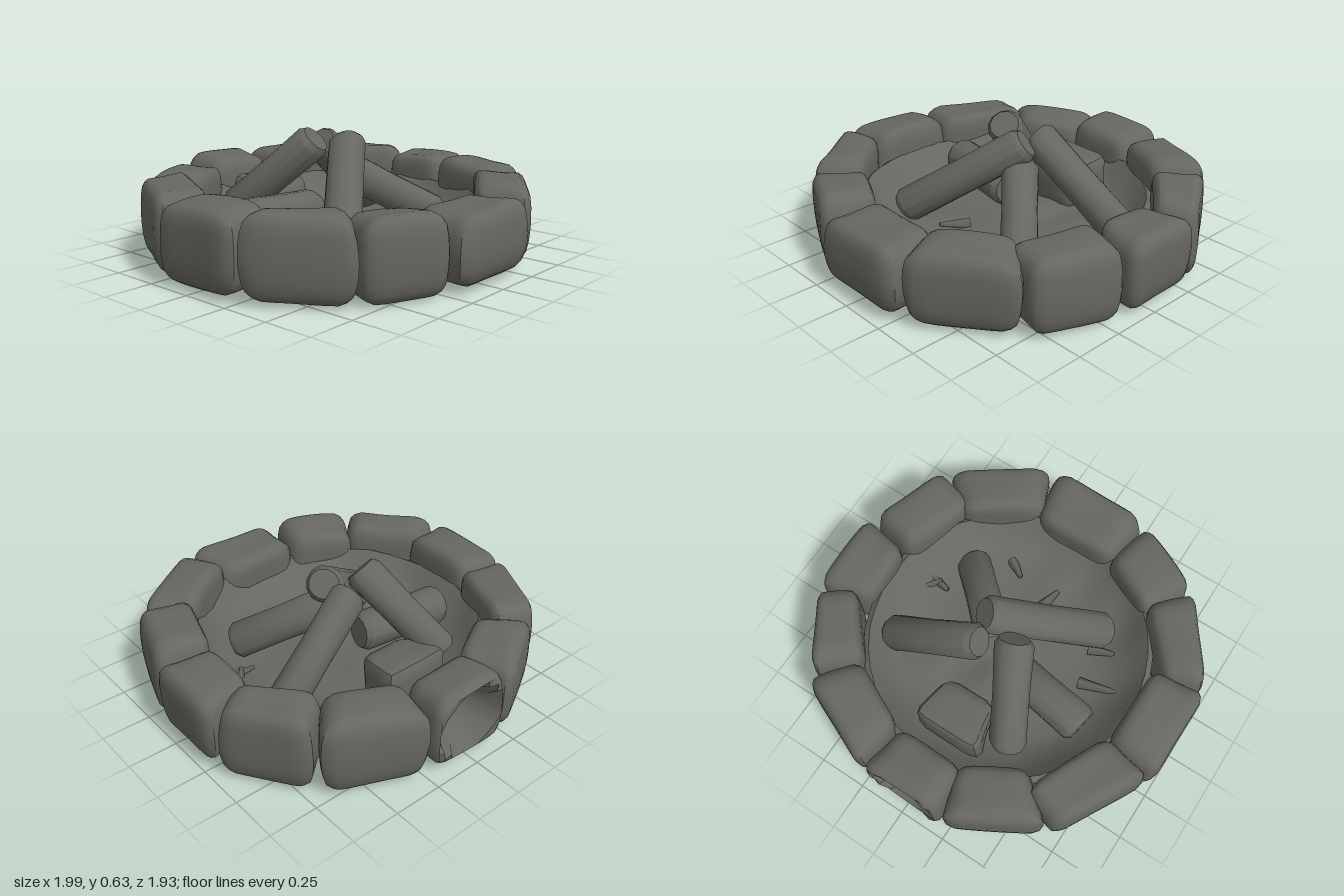
import * as THREE from 'three';
import { mergeVertices, toCreasedNormals } from 'three/addons/utils/BufferGeometryUtils.js';

const stoneGrey = new THREE.MeshStandardMaterial({ color: 0x666761, side: THREE.DoubleSide });
stoneGrey.name = 'stoneGrey';

// Smooth repeatable wobble in -1..1
const wobble = (a, b, c, seed) =>
  (Math.sin(a * 2.3 + seed * 1.7 + b) + Math.sin(b * 2.1 + seed * 2.9 + c) + Math.sin(c * 2.7 + seed * 0.9 + a)) / 3;

function mesh(name, geometry) {
  const m = new THREE.Mesh(geometry, stoneGrey);
  m.name = name;
  return m;
}

// Weld and smooth a geometry after its vertices have been moved by a rule
function reshape(geometry, rule) {
  const g = geometry.clone();
  g.deleteAttribute('uv');
  g.deleteAttribute('normal');
  const p = g.attributes.position;
  const v = new THREE.Vector3();
  for (let i = 0; i < p.count; i++) {
    rule(v.fromBufferAttribute(p, i));
    p.setXYZ(i, v.x, v.y, v.z);
  }
  return toCreasedNormals(mergeVertices(g, 1e-4), 0.75);
}

// Rounds a cube of half-size 1
const core = new THREE.Vector3();
function roundCube(v, r) {
  core.copy(v).clampScalar(-(1 - r), 1 - r);
  v.sub(core);
  if (v.lengthSq() > 0) v.setLength(r);
  v.add(core);
}

// Footprints: outer start, outer end, inner end, inner start (x, z pairs), then bottom and top
const STONES = [
  [-0.20, -0.98, 0.22, -0.97, 0.18, -0.69, -0.18, -0.69, 0.03, 0.41],
  [0.26, -0.96, 0.70, -0.76, 0.54, -0.52, 0.21, -0.68, 0.02, 0.41],
  [0.74, -0.69, 0.97, -0.34, 0.78, -0.22, 0.54, -0.51, 0.02, 0.41],
  [0.99, -0.28, 1.00, 0.15, 0.71, 0.09, 0.71, -0.22, 0.03, 0.39],
  [0.97, 0.19, 0.83, 0.59, 0.57, 0.51, 0.69, 0.12, 0.02, 0.41],
  [0.77, 0.64, 0.35, 0.93, 0.23, 0.68, 0.57, 0.44, 0.03, 0.41],
  [0.28, 0.97, -0.23, 0.97, -0.20, 0.65, 0.23, 0.65, 0.03, 0.38],
  [-0.29, 0.93, -0.65, 0.75, -0.52, 0.49, -0.21, 0.64, 0.01, 0.39],
  [-0.69, 0.73, -0.97, 0.32, -0.77, 0.23, -0.51, 0.51, 0.02, 0.41],
  [-1.00, 0.27, -1.00, -0.21, -0.70, -0.19, -0.71, 0.23, 0.03, 0.40],
  [-0.96, -0.25, -0.73, -0.69, -0.50, -0.60, -0.69, -0.19, 0.02, 0.41],
  [-0.67, -0.72, -0.24, -0.97, -0.16, -0.69, -0.45, -0.52, 0.02, 0.39],
];
const cube = new THREE.BoxGeometry(2, 2, 2, 8, 8, 8);

function stone(row, seed, hollow) {
  const [ax, az, bx, bz, cx, cz, dx, dz, y0, y1] = row;
  const lerp = THREE.MathUtils.lerp;
  return reshape(cube, (v) => {
    // Bowl-shaped break in the outer face
    const bowl = hollow && v.z > 0.99 ? Math.max(0, 1 - (Math.hypot(v.x, v.y) / 0.92) ** 4) : 0;
    roundCube(v, 0.36);
    // Widest at mid height, so neighbours meet there; the base is tucked in
    const bulge = 1.08 - 0.12 * v.y * v.y;
    const tuck = 1 - (v.y < 0 ? 0.17 : 0.09) * v.y * v.y;
    const n = 0.05 * wobble(v.x, v.y, v.z, seed);
    const s = (v.x * (bulge + n) + 1) / 2;
    const t = (v.z * ((v.z > 0 ? tuck : 1) + n) - 1.35 * bowl + 1) / 2;
    const x = lerp(lerp(cx, bx, t), lerp(dx, ax, t), s);
    const z = lerp(lerp(cz, bz, t), lerp(dz, az, t), s);
    const y = lerp(y0, y1, (v.y + 1) / 2) + 0.02 * wobble(v.z, v.x, v.y, seed + 3) * (v.y > 0 ? 1 : 0.5);
    v.set(x, Math.max(0, y), z);
  });
}

// Log between two points, with slightly worn ends
function log(name, low, high, r, seed) {
  const a = new THREE.Vector3(...low);
  const b = new THREE.Vector3(...high);
  const h = a.distanceTo(b) / 2;
  const profile = [[0, -h], [r * 0.8, -h], [r, -h + 0.03], [r * 0.96, 0], [r, h - 0.03], [r * 0.8, h], [0, h]]
    .map(([x, y]) => new THREE.Vector2(x, y));
  const geometry = reshape(new THREE.LatheGeometry(profile, 12), (v) => {
    const k = 1 + 0.07 * wobble(v.x * 12, v.y * 2, v.z * 12, seed);
    v.set(v.x * k, v.y + 0.1 * v.x, v.z * k);
  });
  const m = mesh(name, geometry);
  m.position.copy(a).lerp(b, 0.5);
  m.quaternion.setFromUnitVectors(new THREE.Vector3(0, 1, 0), b.sub(a).normalize());
  return m;
}

export function createModel() {
  const model = new THREE.Group();
  model.name = 'firePit';

  // Ring of stones, the back one broken open on its outer face
  const ring = new THREE.Group();
  ring.name = 'stoneRing';
  STONES.forEach((row, i) => ring.add(mesh(i === 0 ? 'brokenStone' : 'stone', stone(row, i + 1, i === 0))));
  model.add(ring);

  // Ash bed: flat underneath, a crumpled dish on top that climbs between the stones
  const bed = [[0, 0.035], [0.72, 0.035], [0.745, 0.08], [0.75, 0.26], [0.72, 0.28], [0.67, 0.22], [0.6, 0.15], [0.5, 0.11], [0.4, 0.1], [0.3, 0.1], [0.15, 0.1], [0, 0.1]]
    .map(([x, y]) => new THREE.Vector2(x, y));
  model.add(mesh('ashBed', reshape(new THREE.LatheGeometry(bed, 40), (v) => {
    if (v.y > 0.09) v.y += 0.02 * wobble(v.x * 9, v.z * 9, v.x * 5, 2);
  })));

  // Logs leaning together, one lying almost flat
  const logs = new THREE.Group();
  logs.name = 'logs';
  logs.add(
    log('leftLog', [-0.55, 0.23, -0.17], [-0.06, 0.22, -0.09], 0.105, 1),
    log('backLog', [-0.29, 0.20, -0.46], [-0.08, 0.585, -0.07], 0.095, 2),
    log('rightLog', [0.57, 0.15, -0.26], [0.06, 0.54, -0.16], 0.095, 3),
    log('frontRightLog', [0.43, 0.16, 0.32], [0.08, 0.42, -0.03], 0.095, 4),
    log('frontLeftLog', [-0.38, 0.155, 0.36], [0.12, 0.555, -0.03], 0.095, 5),
  );
  model.add(logs);

  // Loose lump of rock behind the logs, higher at its back
  model.add(mesh('looseRock', reshape(new THREE.BoxGeometry(2, 2, 2, 5, 5, 5), (v) => {
    roundCube(v, 0.4);
    const n = 1 + 0.1 * wobble(v.x, v.y, v.z, 6);
    v.set(v.x * n * (0.165 - 0.035 * v.z), 0.21 + 0.12 * v.y * n - 0.03 * v.z, -0.46 + 0.135 * v.z);
  })));

  // Splinters on the ash: x, z, length, turn
  const splinters = new THREE.Group();
  splinters.name = 'splinters';
  for (const [x, z, length, turn] of [
    [-0.51, 0.08, 0.22, 0.25], [-0.03, 0.37, 0.12, 1.3], [0.58, 0.06, 0.2, 0.9],
    [0.52, 0.12, 0.12, -0.2], [-0.10, 0.26, 0.16, 1.2], [0.22, 0.42, 0.12, -0.6], [-0.42, 0.26, 0.14, 0.3],
  ]) {
    const s = mesh('splinter', new THREE.CylinderGeometry(0.012, 0.032, length, 4));
    s.position.set(x, 0.125, z);
    s.rotation.set(0, turn, Math.PI / 2 - 0.15);
    splinters.add(s);
  }
  model.add(splinters);
  return model;
}
